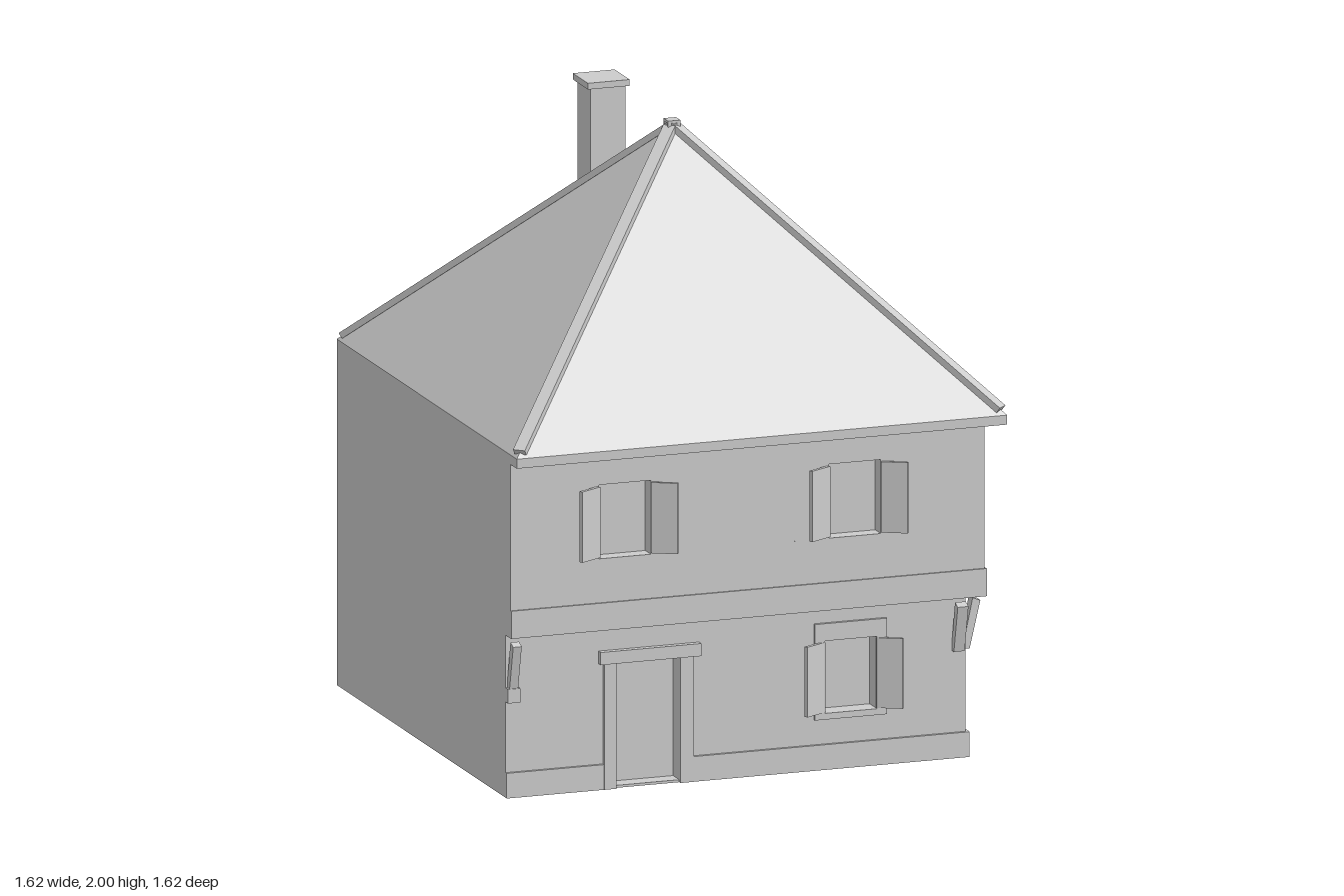
import * as THREE from 'three';

const plaster = new THREE.MeshStandardMaterial({ color: 0xcccccc });
plaster.name = 'light grey';

function add(parent, name, geometry) {
  const mesh = new THREE.Mesh(geometry, plaster);
  mesh.name = name;
  parent.add(mesh);
  return mesh;
}

// Box given by its minimum and maximum on each axis
function block(parent, name, [x0, x1], [y0, y1], [z0, z1]) {
  const mesh = add(parent, name, new THREE.BoxGeometry(x1 - x0, y1 - y0, z1 - z0));
  mesh.position.set((x0 + x1) / 2, (y0 + y1) / 2, (z0 + z1) / 2);
  return mesh;
}

function rectangle(Type, [x0, x1], [y0, y1]) {
  const r = new Type();
  r.moveTo(x0, y0);
  r.lineTo(x1, y0);
  r.lineTo(x1, y1);
  r.lineTo(x0, y1);
  r.closePath();
  return r;
}

// Upright panel with rectangular openings
function panel(parent, name, xs, ys, [z0, z1], openings) {
  const shape = rectangle(THREE.Shape, xs, ys);
  for (const [ox, oy] of openings) shape.holes.push(rectangle(THREE.Path, ox, oy));
  const mesh = add(parent, name, new THREE.ExtrudeGeometry(shape, { depth: z1 - z0, bevelEnabled: false }));
  mesh.position.z = z0;
  return mesh;
}

// Pair of shutters swung outwards from the sides of an opening
function shutters(parent, u, [y0, y1], z) {
  for (const side of [-1, 1]) {
    const hinge = new THREE.Group();
    hinge.name = 'shutter';
    hinge.position.set(u + side * 0.087, 0, z);
    hinge.rotation.y = -side * 0.5;
    const a = side * 0.084;
    block(hinge, 'shutterBoard', [Math.min(0, a), Math.max(0, a)], [y0, y1], [-0.004, 0.008]);
    parent.add(hinge);
  }
}

// Sloping strut under the jetty
function strut(parent, u, width, corbel) {
  const profile = new THREE.Shape();
  profile.moveTo(0.698, 0.34);
  profile.lineTo(0.722, 0.34);
  profile.lineTo(0.757, 0.49);
  profile.lineTo(0.732, 0.5);
  profile.closePath();
  const geo = new THREE.ExtrudeGeometry(profile, { depth: width, bevelEnabled: false });
  geo.rotateY(-Math.PI / 2); // profile x becomes outward z
  const mesh = add(parent, 'strut', geo);
  mesh.position.x = u + width / 2;
  if (corbel) block(parent, 'corbel', [u - 0.02, u + 0.02], [0.305, 0.35], [0.69, 0.728]);
}

// One street side, facing +z; s mirrors it along its width
function facade(s, hasDoor) {
  const g = new THREE.Group();
  const span = (a, b) => (s > 0 ? [a, b] : [-b, -a]);
  const inner = hasDoor ? 0 : 0.075; // the side walls butt against the front ones
  const far = hasDoor ? -0.805 : -0.8;
  const upperY = [0.745, 0.98], lowerY = [0.18, 0.41];
  const upper = [-0.43, 0.325], lower = hasDoor ? [0.325] : [-0.43, 0.325];
  const hole = (c, y) => [span(c - 0.085, c + 0.085), y];

  // Walls
  const lowerHoles = lower.map(c => hole(c, lowerY));
  if (hasDoor) lowerHoles.push([[-0.445, -0.235], [0.008, 0.4]]);
  panel(g, 'lowerWall', span(far, 0.705 - inner), [0, 0.53], [0.63, 0.705], lowerHoles);
  panel(g, 'upperWall', span(far, 0.75 - inner), [0.52, 1.075], [0.675, 0.75], upper.map(c => hole(c, upperY)));
  block(g, 'jettyBeam', span(far, 0.756), [0.517, 0.605], [0.69, 0.756]);

  // Plinth
  const plinths = hasDoor ? [[far, -0.485], [-0.19, 0.715]] : [[far, 0.715]];
  for (const [a, b] of plinths) block(g, 'plinth', span(a, b), [0, 0.08], [0.66, 0.715]);

  // Windows
  for (const c of upper) {
    block(g, 'upperPane', span(c - 0.09, c + 0.09), [0.74, 0.985], [0.677, 0.7]);
    shutters(g, s * c, [0.75, 0.975], 0.75);
  }
  for (const c of lower) {
    block(g, 'lowerPane', span(c - 0.09, c + 0.09), [0.175, 0.415], [0.632, 0.65]);
    panel(g, 'windowSurround', span(c - 0.118, c + 0.118), [0.16, 0.465], [0.7, 0.716], [hole(c, lowerY)]);
    shutters(g, s * c, [0.182, 0.405], 0.706);
  }

  // Door
  if (hasDoor) {
    block(g, 'door', [-0.45, -0.23], [0.005, 0.405], [0.632, 0.65]);
    for (const xs of [[-0.485, -0.445], [-0.235, -0.19]]) block(g, 'doorJamb', xs, [0, 0.4], [0.69, 0.716]);
    block(g, 'doorLintel', [-0.5, -0.17], [0.4, 0.44], [0.69, 0.725]);
  }

  strut(g, s * -0.785, 0.028, true);
  strut(g, s * 0.678, 0.035, false);
  return g;
}

export function createModel() {
  const house = new THREE.Group();
  house.name = 'house';

  // Two street sides
  const front = facade(1, true);
  front.name = 'frontFacade';
  const side = facade(-1, false);
  side.name = 'sideFacade';
  side.rotation.y = Math.PI / 2;
  house.add(front, side);

  // Two plain party walls
  block(house, 'backWall', [-0.805, 0.715], [0, 1.075], [-0.805, -0.75]);
  block(house, 'partyWall', [-0.805, -0.75], [0, 1.075], [-0.75, 0.7]);

  // Roof
  block(house, 'eaves', [-0.805, 0.805], [1.07, 1.1], [-0.805, 0.805]);
  const roofGeo = new THREE.ConeGeometry(0.805 * Math.SQRT2, 0.805, 4, 1).toNonIndexed();
  roofGeo.rotateY(Math.PI / 4);
  roofGeo.computeVertexNormals();
  const roof = add(house, 'roof', roofGeo);
  roof.position.y = 1.1 + 0.805 / 2;

  // Hip tiles along the four roof corners
  const top = new THREE.Vector3(0, 1.907, 0);
  for (const [sx, sz] of [[1, 1], [1, -1], [-1, 1], [-1, -1]]) {
    const foot = new THREE.Vector3(sx * 0.79, 1.117, sz * 0.79);
    const hip = add(house, 'hipTiles', new THREE.BoxGeometry(0.04, 0.02, foot.distanceTo(top)));
    hip.position.copy(foot).lerp(top, 0.5);
    hip.lookAt(top);
  }
  block(house, 'roofCap', [-0.02, 0.02], [1.89, 1.92], [-0.02, 0.02]);

  // Chimney
  block(house, 'chimney', [-0.185, -0.07], [1.5, 1.985], [-0.34, -0.225]);
  block(house, 'chimneyCap', [-0.197, -0.06], [1.98, 2], [-0.35, -0.215]);

  return house;
}
